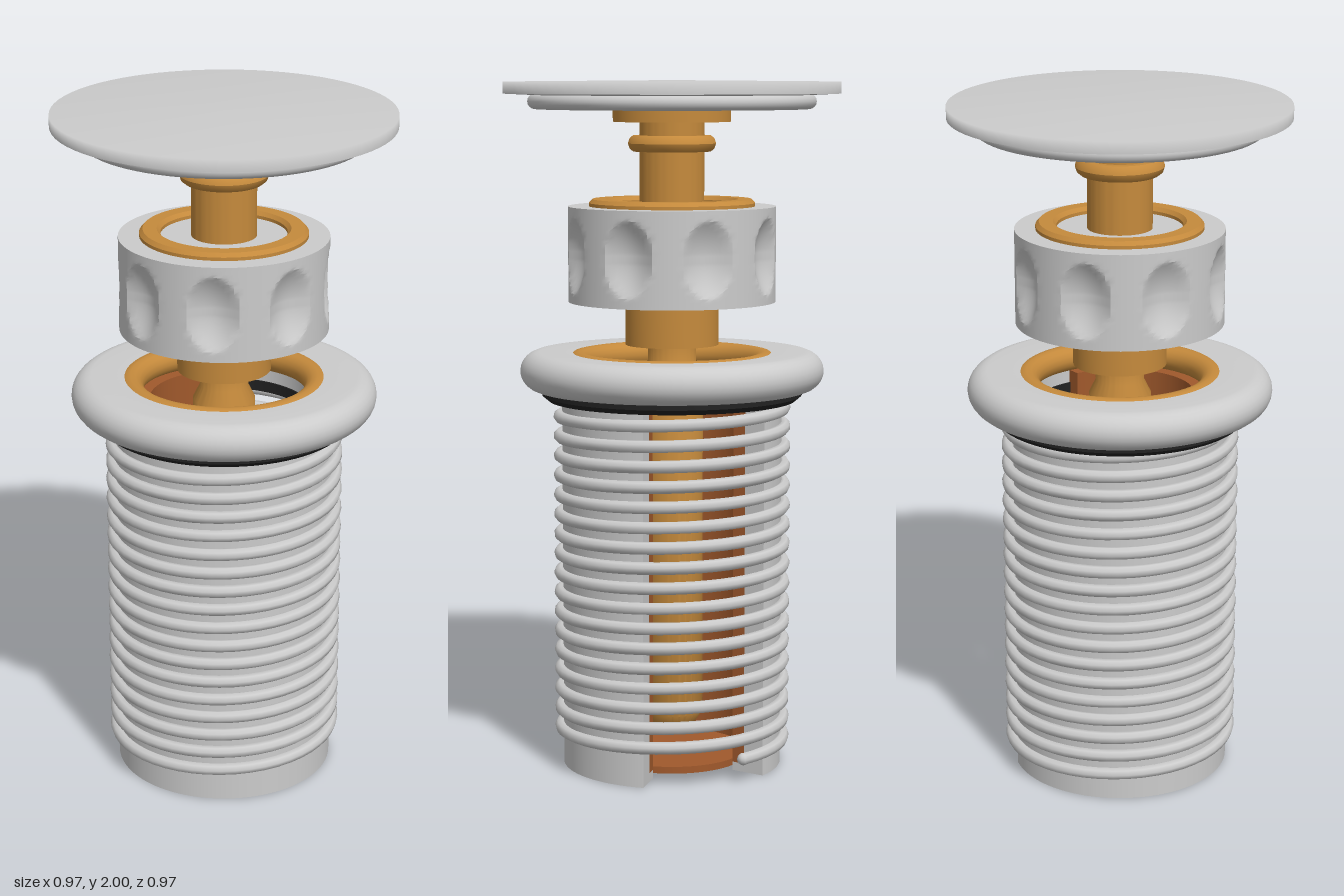
import * as THREE from 'three';
import { toCreasedNormals } from 'three/addons/utils/BufferGeometryUtils.js';

const material = (color) => new THREE.MeshStandardMaterial({ color });
const grey = material(0xcccccc);
const brass = material(0xc58a3c);
const copper = material(0xa0592c);
const rubber = material(0x222222);

const SLOT = THREE.MathUtils.degToRad(35); // half angle of the side slot, facing +x

function add(parent, name, geometry, mat) {
  const mesh = new THREE.Mesh(geometry, mat);
  mesh.name = name;
  parent.add(mesh);
  return mesh;
}

// Turned part; the profile runs up the outside as [radius, y] pairs
function turned(points, smooth = false) {
  const geo = new THREE.LatheGeometry(points.map(([r, y]) => new THREE.Vector2(r, y)), 72);
  return smooth ? geo : toCreasedNormals(geo, 0.6);
}

// Solid cylinder between two heights
function disc(r, y0, y1) {
  return turned([[0, y0], [r, y0], [r, y1], [0, y1]]);
}

// Horizontal ring with a round section
function ring(r, tube, y) {
  return new THREE.TorusGeometry(r, tube, 16, 72).rotateX(Math.PI / 2).translate(0, y, 0);
}

// Tube wall left open along the slot
function slottedTube(inner, outer, y0, y1) {
  const shape = new THREE.Shape();
  shape.absarc(0, 0, outer, SLOT, Math.PI * 2 - SLOT, false);
  shape.absarc(0, 0, inner, Math.PI * 2 - SLOT, SLOT, true);
  shape.closePath();
  const geo = new THREE.ExtrudeGeometry(shape, { depth: y1 - y0, bevelEnabled: false, curveSegments: 64 });
  return toCreasedNormals(geo.rotateX(-Math.PI / 2).translate(0, y0, 0), 0.4);
}

class Helix extends THREE.Curve {
  constructor(radius, y0, y1, start, turns) {
    super();
    Object.assign(this, { radius, y0, y1, start, turns });
  }
  getPoint(t, target = new THREE.Vector3()) {
    const a = this.start + t * this.turns * Math.PI * 2;
    return target.set(
      this.radius * Math.cos(a),
      this.y0 + t * (this.y1 - this.y0),
      -this.radius * Math.sin(a)
    );
  }
}

// Hand nut: a cylinder with eight oval finger scoops pressed into its side
function scoopedNut(radius, height, count) {
  const geo = new THREE.CylinderGeometry(radius, radius, height, 128, 28);
  const pos = geo.attributes.position;
  const step = (Math.PI * 2) / count;
  for (let i = 0; i < pos.count; i++) {
    const x = pos.getX(i), y = pos.getY(i), z = pos.getZ(i);
    if (Math.hypot(x, z) < radius * 0.99) continue;
    const a = Math.atan2(x, z);
    const off = (a - Math.round(a / step) * step) * radius;
    const d = (off / 0.075) ** 2 + (y / 0.11) ** 2;
    const k = 1 - (0.035 * Math.max(0, 1 - d)) / radius;
    pos.setXYZ(i, x * k, y, z * k);
  }
  return toCreasedNormals(geo, 0.5);
}

export function createModel() {
  const model = new THREE.Group();
  model.name = 'drainPlug';

  // Threaded body with a slot down one side
  const body = new THREE.Group();
  body.name = 'body';
  model.add(body);
  add(body, 'bodyTube', slottedTube(0.255, 0.32, 0, 1.09), grey);
  add(body, 'bodyFoot', slottedTube(0.215, 0.256, 0, 0.025), grey);
  add(body, 'liner', slottedTube(0.215, 0.255, 0.025, 1.15), copper);
  add(body, 'linerFloor', disc(0.216, 0.015, 0.035), copper);

  const helix = new Helix(0.328, 0.07, 1.075, 0.32, 17.4);
  add(body, 'thread', new THREE.TubeGeometry(helix, 860, 0.018, 8, false), grey);
  for (const t of [0, 1]) {
    const end = add(body, 'threadEnd', new THREE.SphereGeometry(0.018, 10, 8), grey);
    end.position.copy(helix.getPoint(t));
  }

  // Flange with rounded rim, gasket below and brass seat on top
  const flange = [[0.255, 1.11]];
  for (let i = 0; i <= 12; i++) {
    const a = -Math.PI / 2 + (i / 12) * Math.PI;
    flange.push([0.385 + 0.056 * Math.cos(a), 1.165 + 0.055 * Math.sin(a)]);
  }
  flange.push([0.255, 1.215], [0.255, 1.11]);
  add(body, 'flange', turned(flange), grey);
  add(body, 'gasket', turned([[0.25, 1.08], [0.36, 1.08], [0.378, 1.095], [0.378, 1.112], [0.25, 1.112], [0.25, 1.08]]), rubber);
  add(body, 'seatRing', ring(0.27, 0.038, 1.183), brass);

  // Central rod running from the liner floor up to the cap
  const plunger = new THREE.Group();
  plunger.name = 'plunger';
  model.add(plunger);
  add(plunger, 'lowerRod', turned([
    [0, 0.12], [0.07, 0.12], [0.09, 0.15], [0.09, 1.15], [0.07, 1.19], [0.07, 1.25], [0, 1.25]
  ]), brass);
  add(plunger, 'sleeve', disc(0.135, 1.24, 1.38), brass);
  add(plunger, 'upperRod', disc(0.093, 1.6, 1.93), brass);
  add(plunger, 'rodBead', turned([
    [0.08, 1.797], [0.112, 1.797], [0.122, 1.805], [0.127, 1.82], [0.122, 1.835], [0.112, 1.843], [0.08, 1.843]
  ]), brass);
  add(plunger, 'capCollar', disc(0.17, 1.882, 1.962), brass);

  // Hand nut with brass ring
  const nut = add(plunger, 'handNut', scoopedNut(0.3, 0.275, 8), grey);
  nut.position.y = 1.503;
  add(plunger, 'nutRing', turned([
    [0.18, 1.63], [0.24, 1.63], [0.24, 1.65], [0.23, 1.661], [0.19, 1.661], [0.18, 1.65], [0.18, 1.63]
  ]), brass);

  // Cap with a gently shaded top and a rolled lip underneath
  const cap = new THREE.Group();
  cap.name = 'cap';
  model.add(cap);
  add(cap, 'capTop', turned([[0.485, 1.962], [0.485, 1.996], [0, 2]], true), grey);
  add(cap, 'capUnderside', turned([[0, 1.958], [0.4, 1.958], [0.485, 1.962]]), grey);
  add(cap, 'capLip', ring(0.393, 0.022, 1.94), grey);

  return model;
}
